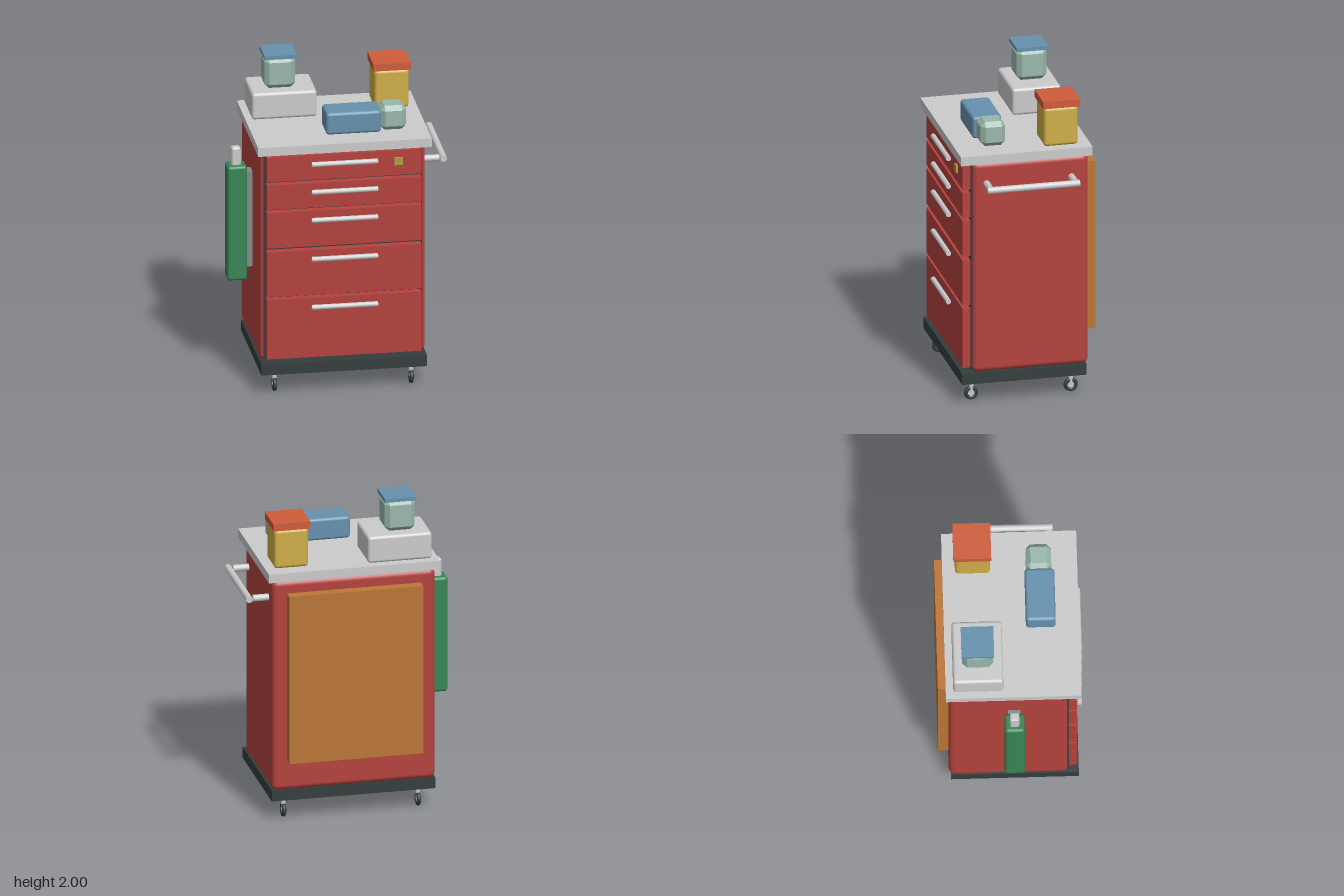
import * as THREE from 'three';
import { RoundedBoxGeometry } from 'three/addons/geometries/RoundedBoxGeometry.js';
import { ConvexGeometry } from 'three/addons/geometries/ConvexGeometry.js';

const mat = (color, flatShading = false) => new THREE.MeshStandardMaterial({ color, flatShading });
const RED = mat(0xb5423d), DARK = mat(0x343d3d), GREY = mat(0xcccccc), STEEL = mat(0xbfc2c2);
const BLUE = mat(0x6691ae), TEAL = mat(0x9ab8ac, true), YELLOW = mat(0xcfae48), ORANGE = mat(0xcf5c3a);
const GREEN = mat(0x388656), WOOD = mat(0xbb7638), BRASS = mat(0xb59a3c), BRACKET = mat(0x858a8a);

// Box with every edge cut by one flat facet
function chamferGeometry(w, h, d, c) {
  const pts = [];
  for (const sx of [-1, 1]) for (const sy of [-1, 1]) for (const sz of [-1, 1]) {
    const x = sx * w / 2, y = sy * h / 2, z = sz * d / 2;
    pts.push(
      new THREE.Vector3(x, y - sy * c, z - sz * c),
      new THREE.Vector3(x - sx * c, y, z - sz * c),
      new THREE.Vector3(x - sx * c, y - sy * c, z));
  }
  return new ConvexGeometry(pts);
}

export function createModel() {
  const model = new THREE.Group();
  model.name = 'toolCart';

  const add = (name, geometry, material, x, y, z, parent = model) => {
    const mesh = new THREE.Mesh(geometry, material);
    mesh.name = name;
    mesh.position.set(x, y, z);
    parent.add(mesh);
    return mesh;
  };
  // Box from its limits: r rounds the edges, chamfer cuts them flat
  const box = (name, material, [x0, x1], [y0, y1], [z0, z1], { r = 0, chamfer = 0 } = {}) => {
    const w = x1 - x0, h = y1 - y0, d = z1 - z0;
    const geometry = chamfer ? chamferGeometry(w, h, d, chamfer)
      : r ? new RoundedBoxGeometry(w, h, d, 4, r) : new THREE.BoxGeometry(w, h, d);
    return add(name, geometry, material, (x0 + x1) / 2, (y0 + y1) / 2, (z0 + z1) / 2);
  };

  // Cabinet
  box('base', DARK, [-0.505, 0.512], [0.13, 0.2], [-0.362, 0.412]);
  box('cabinet', RED, [-0.503, 0.511], [0.2, 1.555], [-0.376, 0.346], { r: 0.035 });
  box('frontFrame', DARK, [-0.482, 0.491], [0.215, 1.55], [0.3, 0.352]);
  box('worktop', GREY, [-0.527, 0.538], [1.555, 1.611], [-0.394, 0.425]);
  box('backBoard', WOOD, [-0.412, 0.422], [0.392, 1.474], [-0.44, -0.375]);

  // Drawers: bottom, top and handle height
  const drawers = [
    [1.378, 1.537, 1.484], [1.198, 1.355, 1.304], [0.947, 1.176, 1.122],
    [0.632, 0.921, 0.87], [0.228, 0.611, 0.558],
  ];
  for (const [bottom, top, handleY] of drawers) {
    box('drawer', RED, [-0.468, 0.479], [bottom, top], [0.35, 0.402]);
    const handle = add('drawerHandle', new THREE.CylinderGeometry(0.016, 0.016, 0.405, 16), STEEL, 0.005, handleY, 0.424);
    handle.rotation.z = Math.PI / 2;
  }
  box('lock', BRASS, [0.312, 0.362], [1.446, 1.494], [0.395, 0.415]);

  // Push handle on the left side
  const bar = add('pushBar', new THREE.CylinderGeometry(0.021, 0.021, 0.573, 20), STEEL, 0.634, 1.42, -0.003);
  bar.rotation.x = Math.PI / 2;
  for (const z of [-0.268, 0.26]) {
    const arm = add('pushBarArm', new THREE.CylinderGeometry(0.021, 0.021, 0.106, 16), STEEL, 0.556, 1.42, z);
    arm.rotation.z = Math.PI / 2;
  }

  // Casters
  for (const x of [-0.414, 0.424]) for (const z of [-0.284, 0.336]) {
    const caster = new THREE.Group();
    caster.name = 'caster';
    caster.position.set(x, 0.044, z);
    model.add(caster);
    const tyre = add('tyre', new THREE.TorusGeometry(0.031, 0.013, 12, 28), DARK, 0, 0, 0, caster);
    tyre.rotation.y = Math.PI / 2;
    const hub = add('hub', new THREE.CylinderGeometry(0.022, 0.022, 0.014, 20), STEEL, 0, 0, 0, caster);
    hub.rotation.z = Math.PI / 2;
    add('stem', new THREE.CylinderGeometry(0.014, 0.014, 0.09, 14), STEEL, 0, 0.045, 0, caster);
  }

  // Canister hung on the right side
  box('canisterBracket', BRACKET, [-0.545, -0.495], [0.706, 1.32], [-0.018, 0.058]);
  box('canister', GREEN, [-0.66, -0.538], [0.624, 1.365], [-0.041, 0.081], { r: 0.02 });
  box('canisterNozzle', STEEL, [-0.628, -0.572], [1.35, 1.474], [-0.008, 0.048], { chamfer: 0.008 });

  // Items on the worktop
  box('greyCase', GREY, [-0.489, -0.09], [1.611, 1.782], [-0.349, -0.045], { r: 0.02 });
  box('smallJar', TEAL, [-0.4, -0.212], [1.782, 1.98], [-0.291, -0.104], { chamfer: 0.028 });
  box('smallJarLid', BLUE, [-0.404, -0.206], [1.976, 2], [-0.296, -0.098]);
  box('tallTin', YELLOW, [0.272, 0.484], [1.613, 1.862], [-0.317, -0.105], { r: 0.022 });
  box('tallTinLid', ORANGE, [0.263, 0.494], [1.862, 1.908], [-0.327, -0.097]);
  box('blueCase', BLUE, [-0.086, 0.252], [1.613, 1.754], [0.103, 0.284], { r: 0.02 });
  box('teal cup', TEAL, [0.25, 0.409], [1.613, 1.768], [0.113, 0.267], { chamfer: 0.028 });

  return model;
}
